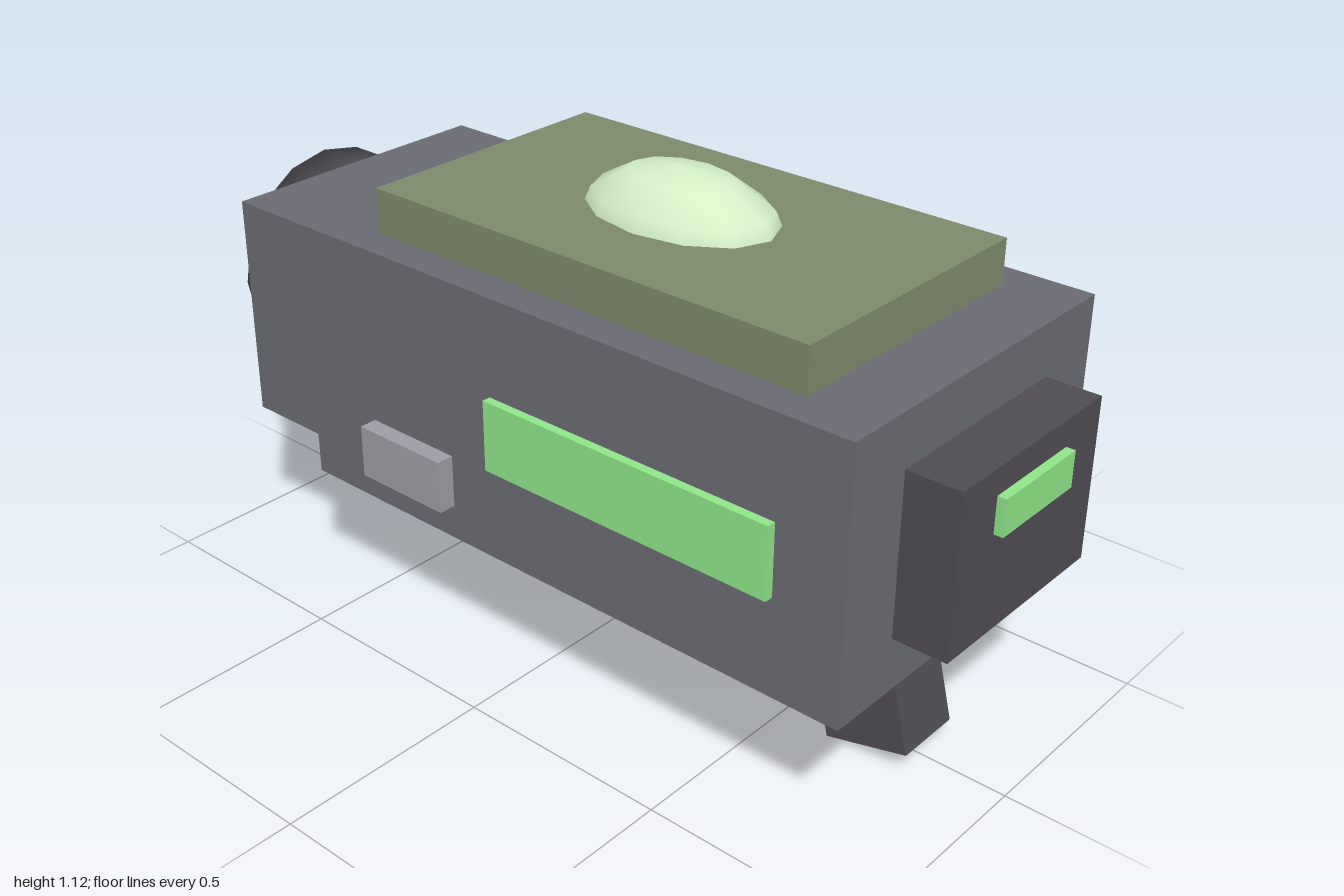
import * as THREE from 'three';
import { mergeVertices } from 'three/addons/utils/BufferGeometryUtils.js';

const paint = (color) => new THREE.MeshStandardMaterial({ color });
const hull = paint(0x6a6b72);
const dark = paint(0x4e4c51);
const olive = paint(0x7c8a6a);
const glow = paint(0x8fe388);
const pale = paint(0xd4f0c8);
const metal = paint(0x9a9da3);

// Box given by its lower and upper corners
function box(name, material, [x0, y0, z0], [x1, y1, z1]) {
  const mesh = new THREE.Mesh(new THREE.BoxGeometry(x1 - x0, y1 - y0, z1 - z0), material);
  mesh.position.set((x0 + x1) / 2, (y0 + y1) / 2, (z0 + z1) / 2);
  mesh.name = name;
  return mesh;
}

// Disc along z whose normals are blended over the rim
function softDisc(name, material, radius, z0, z1) {
  const raw = new THREE.CylinderGeometry(radius, radius, z1 - z0, 16).rotateX(-Math.PI / 2);
  raw.deleteAttribute('normal');
  raw.deleteAttribute('uv');
  const geometry = mergeVertices(raw);
  geometry.computeVertexNormals();
  const mesh = new THREE.Mesh(geometry, material);
  mesh.position.set(0, 0.62, (z0 + z1) / 2);
  mesh.name = name;
  return mesh;
}

export function createModel() {
  const model = new THREE.Group();
  model.name = 'device';

  // Main housing
  model.add(
    box('body', hull, [-0.4, 0.32, -0.58], [0.4, 0.92, 0.86]),
    box('rearHousing', hull, [-0.34, 0.36, -0.86], [0.34, 0.88, -0.58]),
    box('topPlate', olive, [-0.32, 0.92, -0.42], [0.32, 1.02, 0.7]),
    box('frontPanel', dark, [-0.24, 0.44, 0.86], [0.24, 0.8, 0.98]),
    box('frontLight', glow, [-0.12, 0.66, 0.98], [0.12, 0.74, 1])
  );

  // Dome sunk into the top plate
  const dome = new THREE.Mesh(new THREE.SphereGeometry(1, 12, 6), pale);
  dome.scale.set(0.163, 0.14, 0.246);
  dome.position.set(0, 0.98, 0.14);
  dome.name = 'dome';
  model.add(dome);

  // Rear lens and its ring
  model.add(softDisc('lensRing', dark, 0.26, -0.98, -0.86));
  model.add(softDisc('lens', glow, 0.18, -1, -0.9));

  // Side strips and knobs, mirrored
  for (const [side, s] of [['left', 1], ['right', -1]]) {
    const strip = box(side + 'LightStrip', glow, [0.4, 0.54, -0.02], [0.42, 0.7, 0.7]);
    const knob = box(side + 'Knob', metal, [0.4, 0.4, -0.38], [0.44, 0.52, -0.14]);
    for (const part of [strip, knob]) {
      part.position.x *= s;
      model.add(part);
    }
  }

  // Slanted front leg and straight rear leg
  const frontLeg = box('frontLeg', dark, [-0.08, 0.02, 0.575], [0.08, 0.36, 0.775]);
  frontLeg.rotation.x = -0.25;
  model.add(frontLeg);
  model.add(box('rearLeg', dark, [-0.08, 0.06, -0.42], [0.08, 0.32, -0.26]));

  return model;
}
